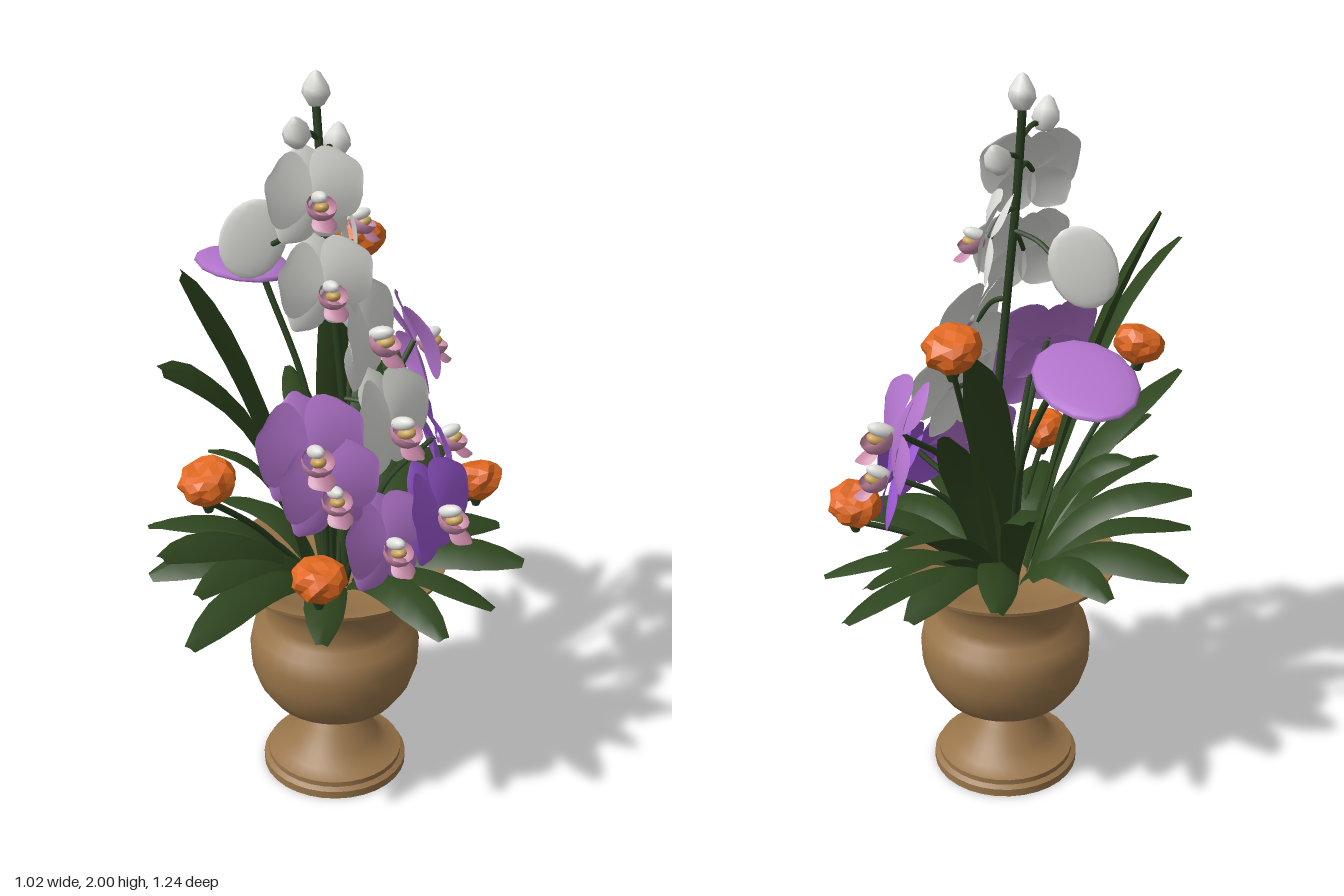
import * as THREE from 'three';
import { toCreasedNormals } from 'three/addons/utils/BufferGeometryUtils.js';

const mat = (name, color) => {
  const m = new THREE.MeshStandardMaterial({ color, side: THREE.DoubleSide });
  m.name = name;
  return m;
};
const V = (x, y, z) => new THREE.Vector3(x, y, z);
const lathe = (pts, sides) => new THREE.LatheGeometry(pts.map(([x, y]) => new THREE.Vector2(x, y)), sides);

export function createModel() {
  const model = new THREE.Group();
  model.name = 'flowerUrn';
  const clay = mat('clay brown', 0x99754a);
  const leafGreen = mat('leaf green', 0x2f461f);
  const stemGreen = mat('stem green', 0x2a4020);
  const white = mat('petal white', 0xdededa);
  const lilac = mat('petal lilac', 0xb274cc);
  const violet = mat('petal violet', 0x9a58d2);
  const pink = mat('lip pink', 0xc486a4);
  const yellow = mat('throat yellow', 0xc8a058);
  const orange = mat('bloom orange', 0xe06820);

  const add = (parent, name, geo, material) => {
    const mesh = new THREE.Mesh(geo, material);
    mesh.name = name;
    parent.add(mesh);
    return mesh;
  };

  // Urn: foot, stem, bowl, flared rim and inner wall in one profile
  const urn = lathe([[0, 0], [0.2, 0], [0.2, 0.022], [0.187, 0.03], [0.187, 0.045], [0.15, 0.058],
    [0.12, 0.09], [0.092, 0.135], [0.072, 0.165], [0.09, 0.175], [0.085, 0.188], [0.13, 0.203],
    [0.178, 0.235], [0.212, 0.285], [0.23, 0.34], [0.233, 0.4], [0.222, 0.45], [0.192, 0.475],
    [0.186, 0.5], [0.188, 0.54], [0.203, 0.585], [0.24, 0.628], [0.3, 0.648], [0.302, 0.658],
    [0.25, 0.65], [0.2, 0.61], [0, 0.6]], 32);
  add(model, 'urn', toCreasedNormals(urn, 0.8), clay);

  const tube = (name, pts, r) => add(model, name,
    new THREE.TubeGeometry(new THREE.CatmullRomCurve3(pts), 14, r, 6), stemGreen);

  // Arching leaf: creased strip swept from the urn to the tip, rolled about its own length
  const leaf = (tip, rise, halfWidth, roll) => {
    const a = Math.atan2(tip.z, tip.x);
    const base = V(Math.cos(a) * 0.06, 0.6, Math.sin(a) * 0.06);
    const mid = V(tip.x * 0.45, tip.y * 0.62 + 0.6 * 0.38 + rise, tip.z * 0.45);
    const curve = new THREE.QuadraticBezierCurve3(base, mid, tip);
    const geo = new THREE.PlaneGeometry(1, 1, 2, 9);
    const p = geo.attributes.position;
    for (let i = 0; i < p.count; i++) {
      const t = p.getY(i) + 0.5, s = p.getX(i) * 2;
      const w = halfWidth * (0.45 + 0.65 * Math.sin(Math.PI * Math.min(1, t * 0.8 + 0.03)))
        * (t > 0.85 ? 1 - (t - 0.85) * 4 : 1);
      const flat = V(-Math.sin(a), 0, Math.cos(a));
      const up = flat.clone().cross(curve.getTangent(t));
      const side = flat.clone().multiplyScalar(Math.cos(roll)).addScaledVector(up, -Math.sin(roll));
      const ridge = up.multiplyScalar(Math.cos(roll)).addScaledVector(flat, Math.sin(roll));
      const q = curve.getPoint(t).addScaledVector(side, s * w).addScaledVector(ridge, -Math.abs(s) * w * 0.4);
      p.setXYZ(i, q.x, q.y, q.z);
    }
    geo.computeVertexNormals();
    add(model, 'leaf', geo, leafGreen);
  };
  [ // tip x, y, z, rise, half width, roll
    [0.09, 1.0, -0.62, 0.12, 0.055, 0.3], [0.15, 0.87, -0.6, 0.14, 0.05, 0.3], [0.23, 0.73, -0.56, 0.15, 0.05, 0.2],
    [-0.15, 0.8, -0.5, 0.15, 0.05, -0.3], [-0.2, 1.02, -0.42, 0.14, 0.045, 0.3], [-0.04, 1.41, -0.4, 0, 0.065, 1],
    [-0.51, 0.7, -0.03, 0.15, 0.06, 0.2], [-0.45, 0.7, 0.24, 0.16, 0.06, -0.2], [-0.46, 0.83, 0.2, 0.16, 0.05, 0.2],
    [0.51, 0.71, 0.02, 0.13, 0.06, 0.2], [0.45, 0.66, 0.18, 0.15, 0.055, -0.2], [0.42, 0.66, -0.26, 0.15, 0.055, 0.2],
    [0.34, 0.67, 0.36, 0.15, 0.05, 0.2], [0.05, 0.7, 0.48, 0.15, 0.05, -0.2], [-0.31, 0.99, 0.61, 0.12, 0.055, -0.3],
    [-0.26, 0.72, 0.58, 0.16, 0.05, -0.3], [-0.24, 0.86, 0.56, 0.16, 0.045, -0.3], [-0.32, 1.43, 0.5, 0.24, 0.055, -0.6],
    [-0.32, 1.58, 0.28, 0.12, 0.058, -0.69], [-0.33, 0.98, 0.04, 0.18, 0.04, 0.3],
    [-0.35, 0.7, -0.2, 0.15, 0.05, 0.2], [0.1, 0.7, -0.46, 0.15, 0.05, -0.2], [0.06, 1.15, -0.3, 0, 0.05, 0.5],
  ].forEach(([x, y, z, rise, w, roll]) => leaf(V(x, y, z), rise, w, roll));

  // Petal growing along +y and facing +z, with curled tip and bent edges
  const petalGeo = (length, halfWidth, curl, cup) => {
    const geo = new THREE.PlaneGeometry(1, 1, 6, 8);
    const p = geo.attributes.position;
    for (let i = 0; i < p.count; i++) {
      const u = p.getY(i) + 0.5, s = p.getX(i) * 2;
      const w = halfWidth * (0.1 + Math.pow(Math.sin(Math.PI * Math.pow(u, 1.1) * 0.96), 0.65));
      p.setXYZ(i, s * w, u * length * (1 - 0.08 * s * s), curl * u * u + cup * s * s * Math.sin(Math.PI * u));
    }
    geo.computeVertexNormals();
    return geo;
  };
  const sepal = petalGeo(0.138, 0.056, -0.025, -0.012);
  const wing = petalGeo(0.148, 0.09, 0.012, -0.016);
  const lipLobe = petalGeo(0.07, 0.032, 0.02, 0.015);
  const lipCup = new THREE.SphereGeometry(1, 12, 6, 0, Math.PI * 2, Math.PI * 0.45, Math.PI * 0.55);
  const ball = new THREE.SphereGeometry(1, 14, 10);

  // Orchid bloom: three sepals, two broad petals, cupped lip and column
  const orchid = (pos, dir, material, scale) => {
    const g = new THREE.Group();
    g.name = 'orchid';
    g.position.copy(pos);
    g.lookAt(pos.clone().add(dir));
    g.scale.setScalar(scale);
    [0, 2.4, -2.4].forEach((a) => { add(g, 'sepal', sepal, material).rotation.z = a; });
    [1.2, -1.2].forEach((a) => {
      const m = add(g, 'petal', wing, material);
      m.rotation.z = a;
      m.position.z = 0.014;
    });
    const cup = add(g, 'lipCup', lipCup, pink);
    cup.position.set(0, -0.024, 0.045);
    cup.rotation.x = 0.75;
    cup.scale.set(0.04, 0.036, 0.04);
    const lip = add(g, 'lip', lipLobe, pink);
    lip.position.set(0, -0.035, 0.03);
    lip.rotation.x = 2.2;
    const throat = add(g, 'throat', ball, yellow);
    throat.position.set(0, -0.026, 0.045);
    throat.scale.set(0.018, 0.014, 0.024);
    const column = add(g, 'column', ball, white);
    column.position.set(0, -0.002, 0.04);
    column.scale.set(0.017, 0.017, 0.034);
    model.add(g);
  };

  // White orchid spike with blooms and buds
  const spike = new THREE.CatmullRomCurve3([V(0.03, 0.6, 0), V(0.03, 1, 0), V(0, 1.4, 0.01),
    V(-0.03, 1.7, 0), V(-0.05, 1.93, -0.02)]);
  add(model, 'whiteSpike', new THREE.TubeGeometry(spike, 24, 0.011, 6), stemGreen);
  const join = (pos) => {
    const q = spike.getPoint(Math.min(1, Math.max(0.1, (pos.y - 0.66) / 1.33)));
    tube('pedicel', [q, q.clone().lerp(pos, 0.5).add(V(0, 0.02, 0)), pos], 0.007);
  };
  [
    [V(-0.04, 1.72, 0.09), V(0.6, 0.3, 0.75), 0.95], [V(0.01, 1.6, -0.09), V(0.95, 0.3, -0.25), 0.92],
    [V(-0.01, 1.5, 0.11), V(0.65, 0.3, 0.75), 0.95], [V(0.08, 1.33, 0.01), V(0.95, 0.3, 0.2), 1.08],
    [V(0.15, 1.11, 0.06), V(0.87, 0.3, 0.42), 1.1],
  ].forEach(([pos, dir, scale]) => { orchid(pos, dir, white, scale); join(pos); });

  const budGeo = lathe([[0, -0.04], [0.02, -0.036], [0.036, -0.008], [0.032, 0.012], [0.014, 0.042], [0, 0.052]], 8);
  [[-0.05, 1.948, -0.025, 0.1], [-0.08, 1.87, 0.07, 0.5], [-0.01, 1.8, -0.09, -0.6]].forEach(([x, y, z, tilt]) => {
    const bud = add(model, 'bud', budGeo, white);
    bud.position.set(x, y, z);
    bud.rotation.x = tilt;
    join(V(x, y - 0.025, z));
  });

  // Loose broad petals: one white upright, one lilac lying flat
  const whitePetal = add(model, 'loosePetal', ball, white);
  whitePetal.position.set(-0.22, 1.54, -0.06);
  whitePetal.rotation.set(0, 0.25, -0.3);
  whitePetal.scale.set(0.085, 0.11, 0.014);
  join(V(-0.17, 1.53, -0.06));
  const flatPetal = add(model, 'broadPetal', ball, lilac);
  flatPetal.position.set(-0.305, 1.365, -0.315);
  flatPetal.rotation.set(-0.13, 0.6, 0);
  flatPetal.scale.set(0.122, 0.022, 0.185);
  tube('petalStem', [V(-0.03, 0.6, -0.04), V(-0.1, 1.05, -0.16), V(-0.23, 1.355, -0.24)], 0.009);

  // Purple orchids on their own stems
  [
    [V(-0.01, 1.16, 0.33), V(0.6, 0.35, 0.75), lilac, 1.05], [V(0.04, 1.06, 0.34), V(0.6, 0.3, 0.75), lilac, 0.98],
    [V(0.17, 0.86, 0.23), V(0.75, 0.35, 0.65), lilac, 1], [V(0.28, 0.88, 0.09), V(0.93, 0.35, 0.35), violet, 1.05],
    [V(0.24, 0.95, -0.19), V(0.93, 0.4, -0.3), violet, 1.03], [V(0.16, 1.16, -0.34), V(0.88, 0.35, -0.45), lilac, 1.1],
  ].forEach(([pos, dir, material, scale]) => {
    orchid(pos, dir, material, scale);
    tube('orchidStem', [V(pos.x * 0.2, 0.6, pos.z * 0.2),
      V(pos.x * 0.5, 0.6 + (pos.y - 0.6) * 0.7, pos.z * 0.5), pos], 0.008);
  });

  // Ruffled orange blooms, wider at the top, with a green calyx and stem
  const ruffle = new THREE.IcosahedronGeometry(1, 2);
  const rp = ruffle.attributes.position;
  for (let i = 0; i < rp.count; i++) {
    const v = V().fromBufferAttribute(rp, i);
    const a = Math.atan2(v.z, v.x);
    const k = 1 + 0.15 * v.y + 0.09 * Math.sin(a * 7 + v.y * 4) * (1 - v.y * v.y);
    rp.setXYZ(i, v.x * k, Math.min(v.y, 0.75) * 0.85 + 0.06 * Math.sin(v.x * 8) * Math.cos(v.z * 8), v.z * k);
  }
  ruffle.computeVertexNormals();
  [[-0.23, 1.12, 0.46], [0.03, 0.84, 0.41], [0.36, 0.84, -0.175], [0, 1.43, -0.39]].forEach(([x, y, z], i) => {
    const bloom = add(model, 'orangeBloom', ruffle, orange);
    bloom.position.set(x, y, z);
    bloom.rotation.set(0.25 * Math.sign(z), i * 1.3, -0.2 * Math.sign(x));
    bloom.scale.setScalar(0.068);
    add(model, 'calyx', new THREE.CylinderGeometry(0.026, 0.01, 0.04, 8), stemGreen).position.set(x, y - 0.06, z);
    tube('bloomStem', [V(x * 0.15, 0.6, z * 0.15), V(x * 0.6, 0.6 + (y - 0.6) * 0.55, z * 0.6), V(x, y - 0.05, z)], 0.008);
  });

  return model;
}
